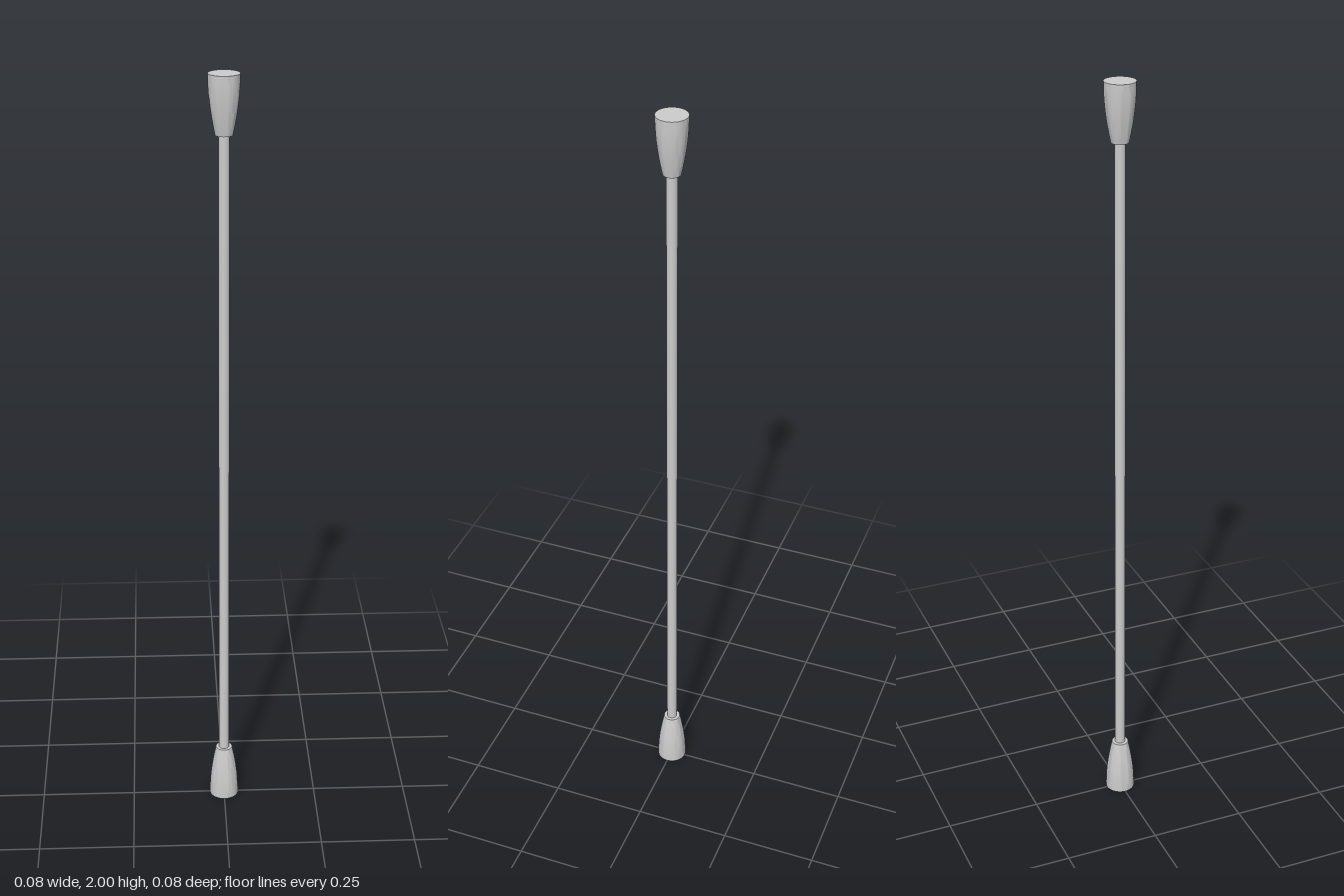
import * as THREE from 'three';
import { toCreasedNormals } from 'three/addons/utils/BufferGeometryUtils.js';

const SEGMENTS = 48;
const HEIGHT = 2;
const ROD_RADIUS = 0.0135;
const CAP_HEIGHT = 0.147;

export function createModel() {
  const group = new THREE.Group();
  const material = new THREE.MeshStandardMaterial({ color: 0xcccccc });

  // Slim straight rod, ending inside both caps
  const rodLength = HEIGHT - CAP_HEIGHT;
  const rod = new THREE.Mesh(new THREE.CylinderGeometry(ROD_RADIUS, ROD_RADIUS, rodLength, SEGMENTS), material);
  rod.name = 'rod';
  rod.position.y = HEIGHT / 2;
  group.add(rod);

  // Cap profile: flat base, gently curved taper, flat shoulder at the neck
  const taper = new THREE.CubicBezierCurve(
    new THREE.Vector2(0.039, 0),
    new THREE.Vector2(0.039, 0.05),
    new THREE.Vector2(0.034, 0.09),
    new THREE.Vector2(0.022, CAP_HEIGHT)
  );
  const profile = [new THREE.Vector2(0, 0), ...taper.getPoints(12), new THREE.Vector2(0, CAP_HEIGHT)];
  const capGeometry = toCreasedNormals(new THREE.LatheGeometry(profile, SEGMENTS), Math.PI / 5);

  // The same cap at both ends, the upper one turned over
  for (const top of [false, true]) {
    const cap = new THREE.Mesh(capGeometry, material);
    cap.name = top ? 'topCap' : 'bottomCap';
    if (top) {
      cap.position.y = HEIGHT;
      cap.rotation.x = Math.PI;
    }
    group.add(cap);
  }
  return group;
}
